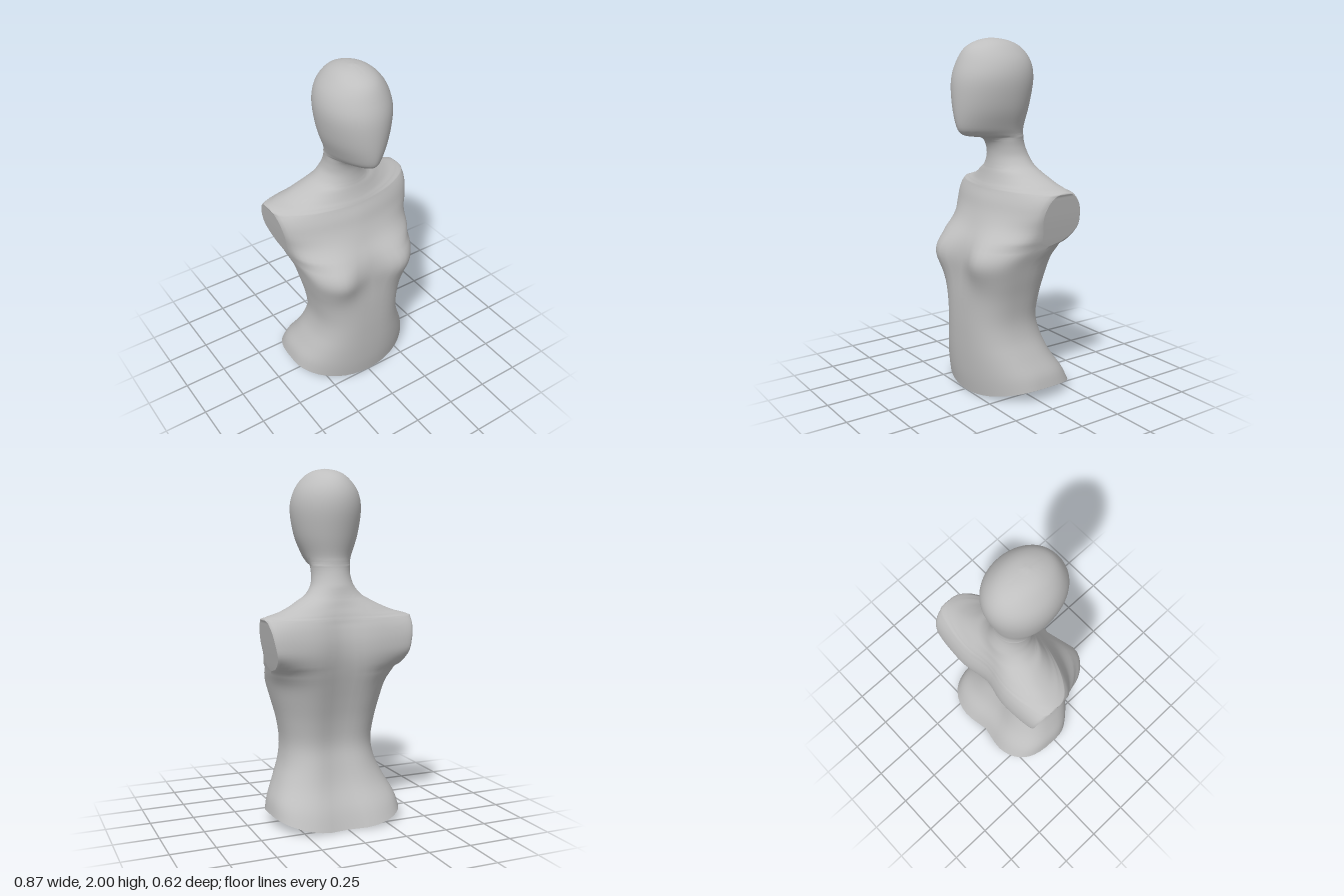
import * as THREE from 'three';
import { toCreasedNormals } from 'three/addons/utils/BufferGeometryUtils.js';

const HALF = 24;               // segments in the front or back half of a ring
const RING = 2 * HALF + 2;     // points per ring, sides counted twice
const SUB = 4;                 // rings between two key sections
const ARM = { y: 1.037, z: -0.12, ry: 0.15, rz: 0.125 }; // cut end of each shoulder

// Key sections: y, half width, front z, back z, side z, front and back squareness
const TORSO = [
  [0.00, 0.385, 0.250, -0.322, 0.00, 2.1, 3.2],
  [0.10, 0.368, 0.265, -0.282, 0.00, 2.2, 3.0],
  [0.22, 0.323, 0.275, -0.217, 0.02, 2.4, 2.7],
  [0.34, 0.280, 0.280, -0.178, 0.04, 2.6, 2.5],
  [0.45, 0.265, 0.282, -0.158, 0.05, 2.7, 2.4],
  [0.58, 0.284, 0.280, -0.174, 0.05, 2.8, 2.4],
  [0.70, 0.314, 0.270, -0.204, 0.05, 3.2, 2.4],
  [0.80, 0.340, 0.258, -0.233, 0.03, 3.8, 2.4],
  [0.887, 0.370, 0.238, -0.257, -0.06, 3.0, 2.4],
  [0.97, 0.390, 0.195, -0.273, -0.12, 2.1, 2.1],
  [1.05, 0.407, 0.160, -0.275, -0.12, 1.75, 2.0],
  [1.12, 0.420, 0.137, -0.264, -0.12, 1.7, 2.0],
  [1.165, 0.428, 0.118, -0.250, -0.12, 1.75, 2.0],
  [1.187, 0.428, 0.110, -0.240, -0.12, 1.8, 2.1],
  [1.21, 0.345, 0.100, -0.230, -0.11, 1.85, 2.1],
  [1.24, 0.272, 0.090, -0.214, -0.10, 1.95, 2.1],
  [1.27, 0.215, 0.082, -0.200, -0.08, 2.0, 2.0],
  [1.30, 0.164, 0.075, -0.184, -0.07, 2.0, 2.0],
  [1.35, 0.125, 0.070, -0.162, -0.05, 2.0, 2.0],
];
const HEAD = [
  [1.40, 0.112, 0.076, -0.143, -0.03, 2.0, 2.0],
  [1.44, 0.111, 0.098, -0.132, -0.02, 1.9, 2.0],
  [1.462, 0.113, 0.140, -0.129, -0.02, 1.7, 2.0],
  [1.471, 0.115, 0.210, -0.128, -0.01, 1.6, 2.0],
  [1.485, 0.119, 0.256, -0.128, 0.00, 1.6, 2.0],
  [1.525, 0.134, 0.285, -0.131, 0.02, 1.75, 2.0],
  [1.63, 0.173, 0.300, -0.157, 0.04, 1.9, 2.0],
  [1.77, 0.195, 0.297, -0.182, 0.05, 2.0, 2.0],
  [1.87, 0.177, 0.266, -0.170, 0.05, 2.0, 2.0],
  [1.945, 0.126, 0.220, -0.118, 0.06, 2.0, 2.0],
  [1.985, 0.070, 0.145, -0.035, 0.06, 2.0, 2.0],
  [2.00, 0.001, 0.066, 0.064, 0.065, 2.0, 2.0],
];

const gauss = (d, r) => Math.exp(-((d / r) ** 2));
const spow = (v, p) => Math.sign(v) * Math.abs(v) ** p;

// Smooth in-between sections through the key rows
function refine(rows) {
  const row = (i) => rows[Math.min(Math.max(i, 0), rows.length - 1)];
  const out = [];
  for (let i = 0; i < rows.length - 1; i++) {
    for (let k = 0; k < SUB; k++) {
      const t = k / SUB;
      out.push(row(i).map((b, c) => {
        const a = row(i - 1)[c], d = row(i + 1)[c], e = row(i + 2)[c];
        return b + 0.5 * t * (d - a + t * (2 * a - 5 * b + 4 * d - e + t * (3 * (b - d) + e - a)));
      }));
    }
  }
  out.push(rows[rows.length - 1]);
  return out;
}

// Horizontal ring: front half, then back half; the halves part at the cut arms
function bodyRing([y, w, front, back, mid, nFront, nBack]) {
  const gap = ARM.rz * Math.sqrt(Math.max(0, 1 - ((y - ARM.y) / ARM.ry) ** 2));
  const ring = [];
  for (const half of [1, -1]) {
    const n = half > 0 ? nFront : nBack;
    const side = mid + half * gap;
    const middle = half > 0 ? front : back;
    for (let i = 0; i <= HALF; i++) {
      const a = (i / HALF - 0.5) * Math.PI;
      const c = i % HALF === 0 ? 0 : Math.cos(a);
      const x = half * w * spow(Math.sin(a), 2 / n);
      let z = side + (middle - side) * c ** (2 / n);
      // Bust in front, spine groove behind
      if (half > 0) z += 0.063 * Math.sqrt(c) * gauss(Math.abs(x) - 0.2, 0.13) * gauss(y - 0.81, 0.135);
      else z += 0.038 * Math.sqrt(c) * gauss(x, 0.11) * THREE.MathUtils.clamp((1.35 - y) / 0.2, 0, 1);
      // Lower hem rises toward the sides
      const hem = 0.07 * (x / 0.385) ** 2 * Math.max(0, 1 - y / 0.35);
      ring.push(new THREE.Vector3(x, y + hem, z));
    }
  }
  return ring;
}

function makeGeometry(points, index) {
  const g = new THREE.BufferGeometry().setFromPoints(points);
  g.setIndex(index);
  g.computeVertexNormals();
  return g;
}

// Skin over the chosen columns of stacked rings
function loft(rings, columns) {
  const index = [];
  for (let j = 0; j < rings.length - 1; j++) {
    for (const i of columns) {
      const a = j * RING + i, b = j * RING + ((i + 1) % RING);
      index.push(a, b, b + RING, a, b + RING, a + RING);
    }
  }
  return makeGeometry(rings.flat(), index);
}

export function createModel() {
  const group = new THREE.Group();
  group.name = 'mannequinBust';
  const grey = new THREE.MeshStandardMaterial({ color: 0xbfbfbf });
  grey.name = 'plain grey';
  const add = (name, geometry) => {
    const mesh = new THREE.Mesh(geometry, grey);
    mesh.name = name;
    group.add(mesh);
  };

  // Torso, shoulders, neck and head in one skin
  const rings = refine([...TORSO, ...HEAD]).map(bodyRing);
  const leftColumn = HALF, rightColumn = RING - 1;
  const skin = [];
  for (let i = 0; i < RING; i++) if (i !== leftColumn && i !== rightColumn) skin.push(i);
  add('torsoAndHead', toCreasedNormals(loft(rings, skin), 1.5));

  // Flat cut ends of the shoulders
  const armRings = rings.filter((r) => Math.abs(r[HALF].y - ARM.y) < ARM.ry + 0.001);
  add('leftShoulderEnd', loft(armRings, [leftColumn]));
  add('rightShoulderEnd', loft(armRings, [rightColumn]));

  // Base: strips from front rim to back rim
  const base = [];
  for (let i = 0; i < HALF; i++) {
    const b = RING - 1 - i;
    base.push(i, b, b - 1, i, b - 1, i + 1);
  }
  add('base', makeGeometry(rings[0], base));
  return group;
}
